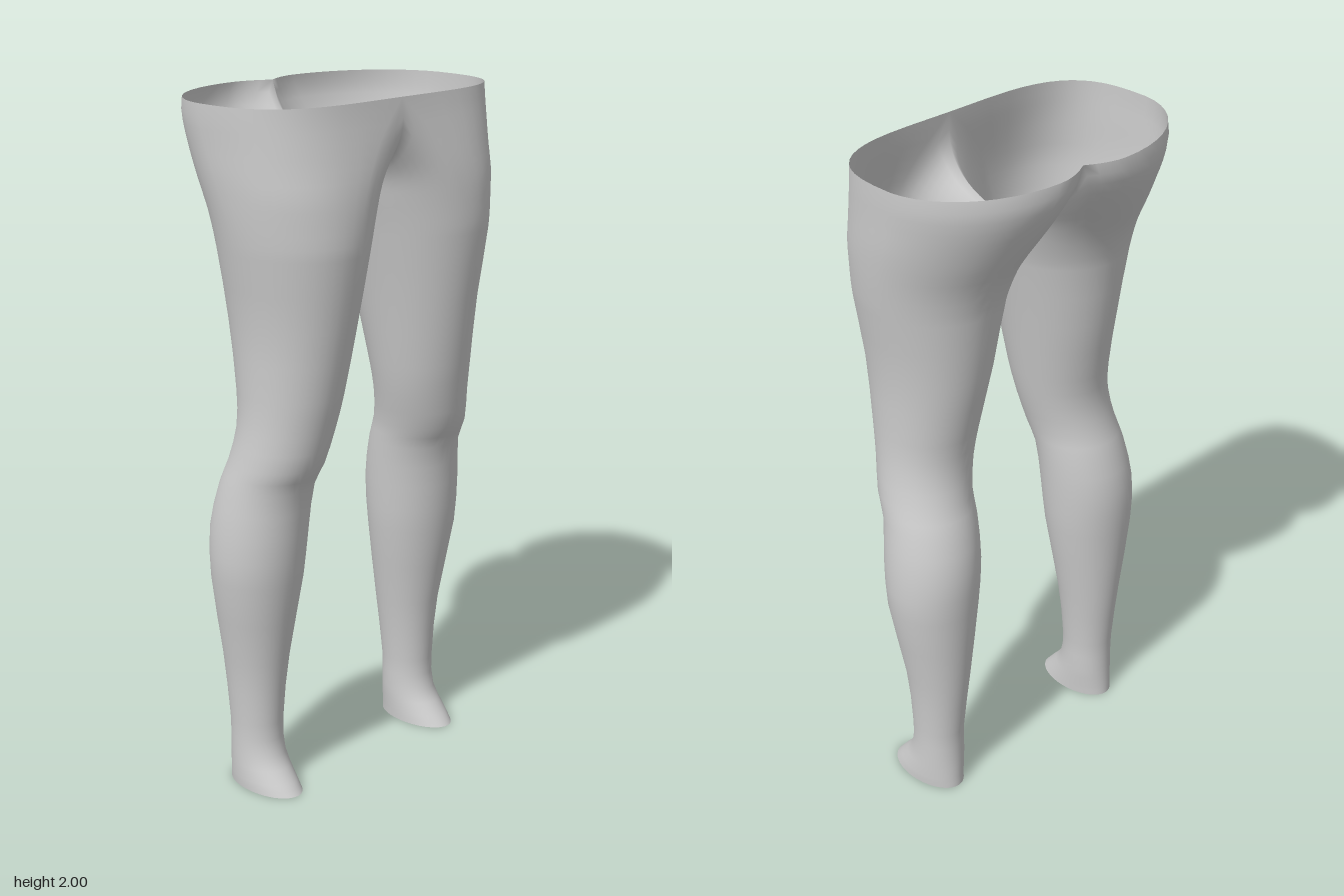
import * as THREE from 'three';
import { mergeVertices } from 'three/addons/utils/BufferGeometryUtils.js';

// Leg sections, bottom to top: height, outer x, inner x, front z, back z
const LEG = [
  [0, 0.4, 0.25, 0.165, -0.095],
  [0.03, 0.4, 0.25, 0.14, -0.093],
  [0.1, 0.395, 0.25, 0.085, -0.09],
  [0.2, 0.395, 0.25, 0.075, -0.09],
  [0.4, 0.412, 0.228, 0.092, -0.11],
  [0.65, 0.455, 0.19, 0.135, -0.13],
  [0.8, 0.455, 0.178, 0.15, -0.135],
  [0.93, 0.437, 0.17, 0.163, -0.108],
  [1.0, 0.425, 0.163, 0.198, -0.083],
  [1.1, 0.41, 0.14, 0.22, -0.065],
  [1.2, 0.405, 0.12, 0.24, -0.075],
  [1.4, 0.41, 0.085, 0.272, -0.115],
  [1.6, 0.44, 0.045, 0.3, -0.145],
];
const FULL = LEG.map(([y, out, inn, zf, zb]) => [y, out, inn, inn, zf, zb, (out + inn) / 2, 2]);

// Hip sections: height, outer x, inner x (front), inner x (back), front z, back z, centre x, front squareness.
// Negative inner x passes the middle plane, where the surface is cut.
FULL.push(
  [1.7, 0.453, 0.02, 0.02, 0.3, -0.175, 0.228, 2.1],
  [1.77, 0.46, 0, 0, 0.294, -0.212, 0.21, 2.3],
  [1.82, 0.464, -0.04, -0.025, 0.286, -0.24, 0.19, 2.4],
  [1.9, 0.467, -0.14, -0.06, 0.27, -0.28, 0.16, 2.7],
  [1.96, 0.47, -0.28, -0.08, 0.258, -0.3, 0.135, 2.9],
  [2.0, 0.47, -0.38, -0.09, 0.252, -0.298, 0.12, 3],
);

// Smooth interpolation of all section values at height y
function section(y) {
  const last = FULL.length - 1;
  let i = 0;
  while (i < last - 1 && y > FULL[i + 1][0]) i++;
  const a = FULL[i], b = FULL[i + 1], h = b[0] - a[0], t = (y - a[0]) / h;
  const slope = (k, c) => {
    const p = FULL[Math.max(k - 1, 0)], q = FULL[Math.min(k + 1, last)];
    return (q[c] - p[c]) / (q[0] - p[0]);
  };
  return a.map((v, c) => v * (1 + 2 * t) * (1 - t) ** 2 + b[c] * t * t * (3 - 2 * t)
    + h * slope(i, c) * t * (1 - t) ** 2 + h * slope(i + 1, c) * t * t * (t - 1));
}

// Point of the left leg at a given angle and height
function legPoint(angle, y) {
  const [, out, inFront, inBack, zf, zb, cx, square] = section(y);
  const c = Math.cos(angle), s = Math.sin(angle);
  const inner = THREE.MathUtils.lerp(inBack, inFront, (1 + s) / 2);
  const power = 2 / (s > 0 ? square : 2);
  const bend = (v) => Math.sign(v) * Math.abs(v) ** power;
  const x = cx + (c > 0 ? out - cx : cx - inner) * bend(c);
  return [x, y, (zf + zb) / 2 + ((zf - zb) / 2) * bend(s)];
}

// Root of f between lo (f > 0) and hi (f < 0)
function bisect(f, lo, hi) {
  for (let k = 0; k < 40; k++) {
    const mid = (lo + hi) / 2;
    if (f(mid) > 0) lo = mid; else hi = mid;
  }
  return (lo + hi) / 2;
}

function legsGeometry() {
  // Angles where the waist rim meets the middle plane
  const rimX = (a) => legPoint(a, 2)[0];
  const front = bisect(rimX, Math.PI / 2, Math.PI);
  const back = bisect(rimX, Math.PI * 1.5, Math.PI);
  const columns = [];
  const outerCount = 28, innerCount = 20;
  for (let i = 0; i < outerCount; i++) {
    columns.push({ angle: back - 2 * Math.PI + (front - back + 2 * Math.PI) * (i / outerCount), top: 2, seam: i === 0 });
  }
  for (let i = 0; i < innerCount; i++) {
    const angle = front + (back - front) * (i / innerCount);
    const top = i === 0 ? 2 : bisect((y) => legPoint(angle, y)[0], 1.7, 2);
    columns.push({ angle, top, seam: true });
  }

  // Shared heights up the leg, then each column runs to its own end
  const rows = [];
  for (let i = 0; i < FULL.length && FULL[i][0] < 1.6; i++) {
    rows.push(FULL[i][0], (FULL[i][0] + FULL[i + 1][0]) / 2);
  }
  const hipRows = 12, rowCount = rows.length + hipRows + 1;
  const positions = [], index = [];
  for (const side of [1, -1]) {
    const base = positions.length / 3;
    for (const { angle, top, seam } of columns) {
      for (let j = 0; j < rowCount; j++) {
        const y = j < rows.length ? rows[j] : 1.6 + (top - 1.6) * ((j - rows.length) / hipRows);
        const [x, py, z] = legPoint(angle, y);
        positions.push(seam && j === rowCount - 1 ? 0 : side * x, py, z);
      }
    }
    for (let i = 0; i < columns.length; i++) {
      for (let j = 0; j < rowCount - 1; j++) {
        const a = base + i * rowCount + j;
        const c = base + ((i + 1) % columns.length) * rowCount + j;
        if (side > 0) index.push(a, a + 1, c, c, a + 1, c + 1);
        else index.push(a, c, a + 1, c, c + 1, a + 1);
      }
    }
  }
  const geometry = new THREE.BufferGeometry();
  geometry.setAttribute('position', new THREE.Float32BufferAttribute(positions, 3));
  geometry.setIndex(index);
  // Weld the halves along the middle so shading runs across
  const welded = mergeVertices(geometry, 1e-5);
  welded.computeVertexNormals();
  return welded;
}

export function createModel() {
  const group = new THREE.Group();
  group.name = 'lowerBody';
  const grey = new THREE.MeshStandardMaterial({ color: 0xcccccc, side: THREE.DoubleSide });
  grey.name = 'light grey';
  // Open shell of both legs and hips
  const legs = new THREE.Mesh(legsGeometry(), grey);
  legs.name = 'legsAndHips';
  group.add(legs);
  return group;
}
